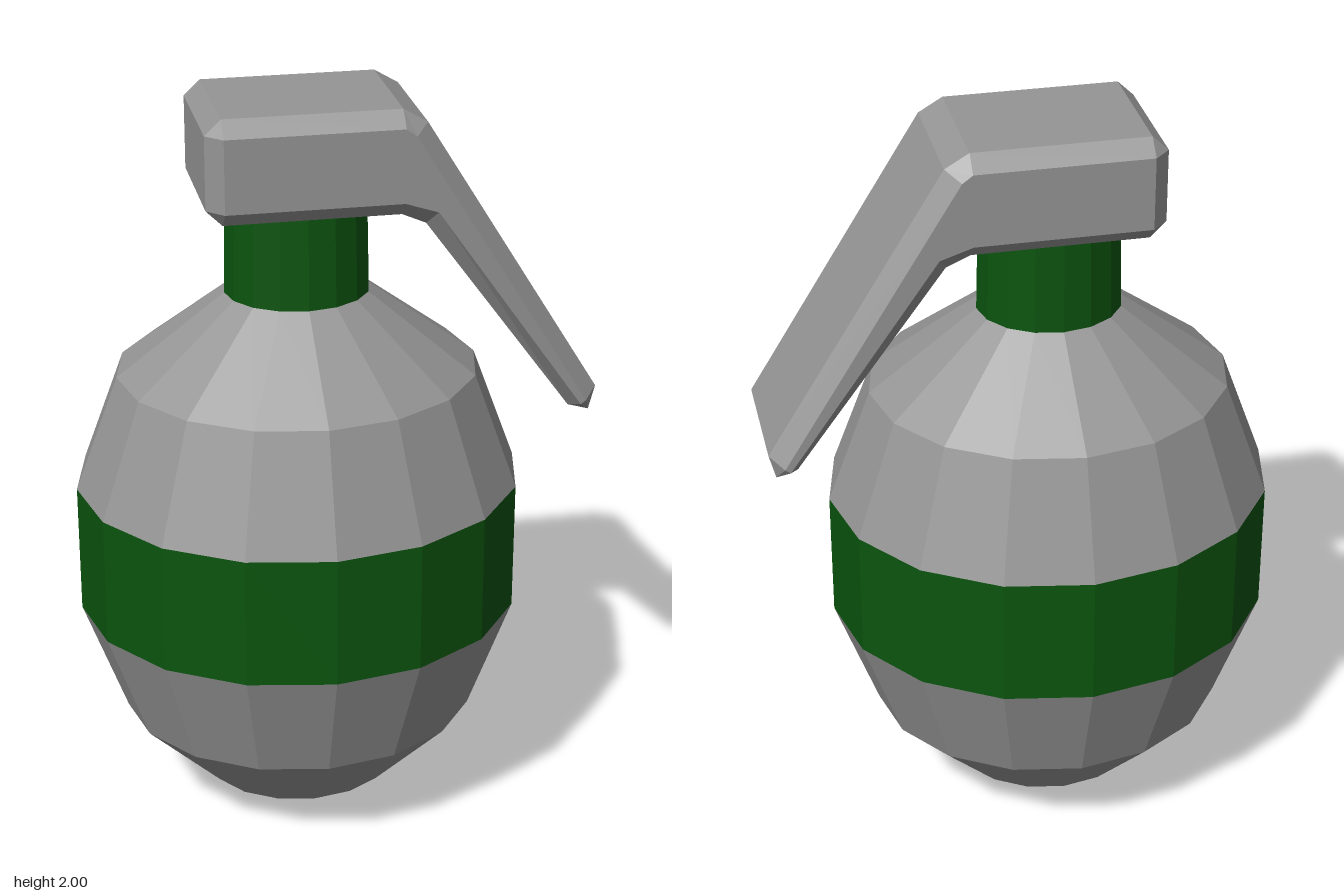
import * as THREE from 'three';

const grey = new THREE.MeshStandardMaterial({ color: 0x959595, flatShading: true });
const green = new THREE.MeshStandardMaterial({ color: 0x0b540e, flatShading: true });

// Sixteen-sided turned part from [radius, height] pairs
function turned(name, profile, material) {
  const points = profile.map(([r, y]) => new THREE.Vector2(r, y));
  const mesh = new THREE.Mesh(new THREE.LatheGeometry(points, 16), material);
  mesh.name = name;
  return mesh;
}

// Chamfered lever lofted through octagonal sections:
// top, inset top, inset bottom, bottom (x, y) and the side half width
function leverGeometry() {
  const inner = 0.172, outer = 0.214;
  const stations = [
    [[-0.345, 1.96], [-0.345, 1.96], [-0.345, 1.768], [-0.345, 1.768], inner],
    [[-0.303, 2.0], [-0.303, 1.96], [-0.303, 1.768], [-0.303, 1.727], outer],
    [[0.15, 2.0], [0.15, 1.96], [0.15, 1.768], [0.15, 1.727], outer],
    [[0.213, 1.963], [0.177, 1.94], [0.235, 1.74], [0.212, 1.7], outer],
    [[0.674, 1.218], [0.638, 1.196], [0.624, 1.186], [0.601, 1.17], outer],
    [[0.657, 1.153], [0.657, 1.153], [0.657, 1.153], [0.657, 1.153], inner],
  ];
  const rings = stations.map(([T, t, b, B, w]) => [
    [...T, inner], [...t, w], [...b, w], [...B, inner],
    [...B, -inner], [...b, -w], [...t, -w], [...T, -inner],
  ]);
  const positions = [];
  const quad = (a, b, c, d) => positions.push(...a, ...b, ...c, ...a, ...c, ...d);
  for (let s = 0; s < rings.length - 1; s++) {
    for (let i = 0; i < 8; i++) {
      const j = (i + 1) % 8;
      quad(rings[s][i], rings[s][j], rings[s + 1][j], rings[s + 1][i]);
    }
  }
  // Flat back end
  const end = rings[0];
  quad(end[0], end[7], end[4], end[3]);
  const geometry = new THREE.BufferGeometry();
  geometry.setAttribute('position', new THREE.Float32BufferAttribute(positions, 3));
  geometry.computeVertexNormals();
  return geometry;
}

export function createModel() {
  const model = new THREE.Group();
  model.name = 'grenade';

  // Slightly oval body with painted band and neck
  const body = new THREE.Group();
  body.name = 'body';
  body.position.x = -0.087;
  body.scale.z = 0.913;
  body.add(
    turned('lowerShell', [[0, 0], [0.26, 0.08], [0.475, 0.295], [0.59, 0.61]], grey),
    turned('band', [[0.59, 0.61], [0.59, 0.96]], green),
    turned('upperShell', [[0.59, 0.96], [0.475, 1.27], [0.19, 1.485], [0, 1.485]], grey),
    turned('neck', [[0.19, 1.485], [0.184, 1.76]], green),
  );
  model.add(body);

  // Bent safety lever on top
  const lever = new THREE.Mesh(leverGeometry(), grey);
  lever.name = 'lever';
  model.add(lever);

  return model;
}
